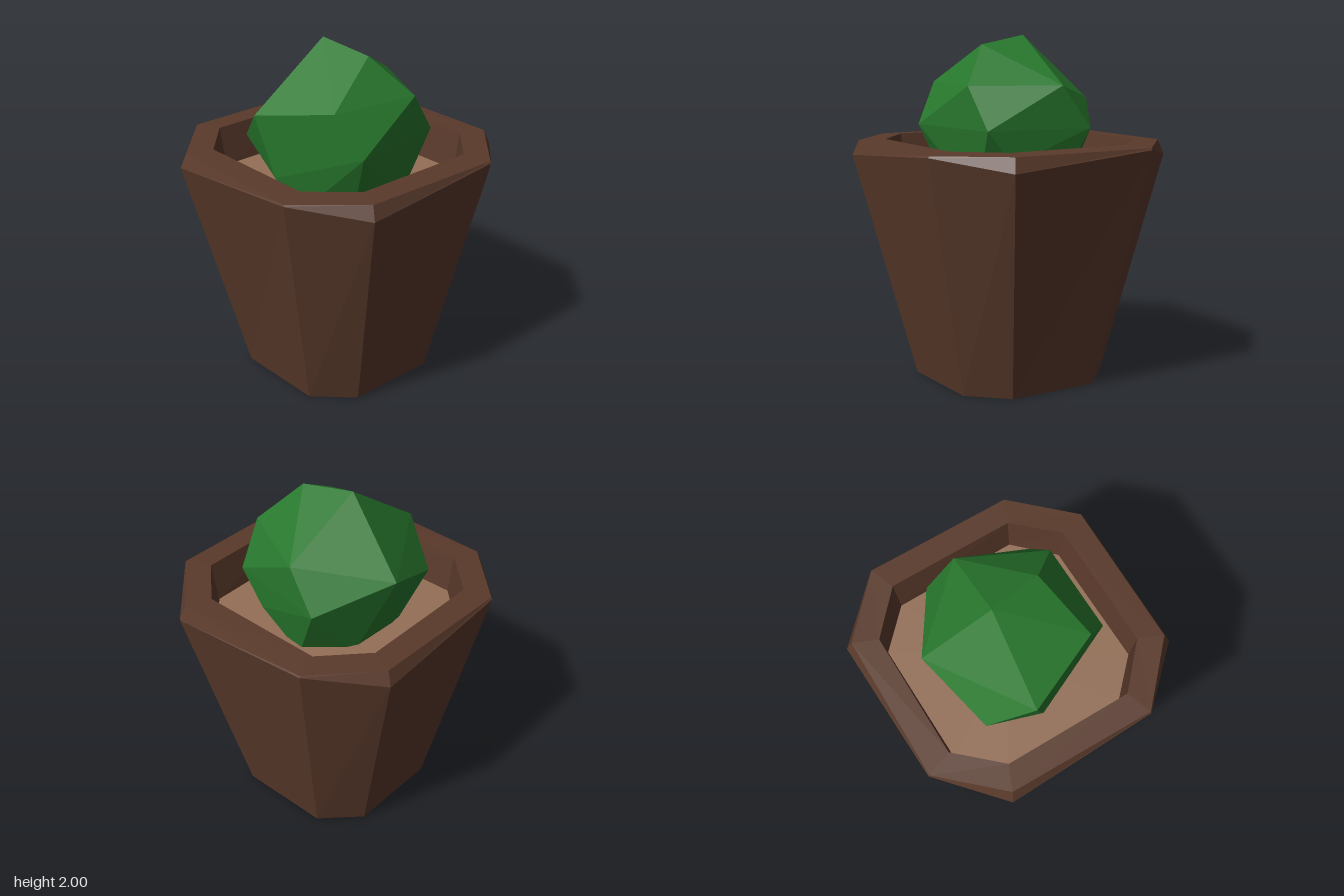
import * as THREE from 'three';
import { ConvexGeometry } from 'three/addons/geometries/ConvexGeometry.js';

// Uneven octagon with quarter-turn symmetry, from two front corners [x, y, z]
function octagon(a, b) {
  const ring = [];
  for (let k = 0; k < 4; k++) {
    for (const [x, y, z] of [a, b]) {
      const turned = [[x, z], [z, -x], [-x, -z], [-z, x]][k];
      ring.push([turned[0], y, turned[1]]);
    }
  }
  return ring;
}

const centre = (y) => octagon([0, y, 0], [0, y, 0]);

// Joins successive rings with flat faces; a centre ring closes an end
function loft(rings) {
  const positions = [];
  for (let r = 0; r < rings.length - 1; r++) {
    const low = rings[r], high = rings[r + 1];
    const lowIsPoint = low[0][0] === low[1][0];
    const highIsPoint = high[0][0] === high[1][0];
    for (let i = 0; i < 8; i++) {
      const j = (i + 1) % 8;
      if (!lowIsPoint) positions.push(...low[i], ...low[j], ...high[j]);
      if (!highIsPoint) positions.push(...low[i], ...high[j], ...high[i]);
    }
  }
  const geometry = new THREE.BufferGeometry();
  geometry.setAttribute('position', new THREE.Float32BufferAttribute(positions, 3));
  geometry.computeVertexNormals();
  return geometry;
}

function part(name, geometry, color) {
  const mesh = new THREE.Mesh(geometry, new THREE.MeshStandardMaterial({ color, flatShading: true }));
  mesh.name = name;
  return mesh;
}

export function createModel() {
  const model = new THREE.Group();
  model.name = 'pottedPlant';

  // Tapered pot with alternate rim corners chipped off
  const soilEdge = octagon([-0.15, 1.17, 0.675], [0.15, 1.17, 0.675]);
  model.add(part('pot', loft([
    centre(0),
    octagon([-0.145, 0, 0.53], [0.14, 0, 0.53]),
    octagon([-0.24, 1.38, 0.86], [0.23, 1.31, 0.88]),
    octagon([-0.235, 1.39, 0.855], [0.22, 1.395, 0.845]),
    octagon([-0.165, 1.4, 0.71], [0.165, 1.4, 0.70]),
    soilEdge,
  ]), 0x5a3a2b));

  // Soil surface
  model.add(part('soil', loft([soilEdge, centre(1.17)]), 0x946f57));

  // Faceted, slightly irregular plant
  const corners = [
    [-0.09, 2, -0.065], [0.17, 1.95, 0.12],
    [0.43, 1.73, 0.135], [0, 1.73, 0.45], [0.265, 1.73, -0.365],
    [-0.45, 1.645, 0.26], [-0.30, 1.63, -0.405],
    [0.525, 1.49, 0], [0.16, 1.49, 0.5], [0.16, 1.49, -0.505],
    [-0.53, 1.43, 0], [-0.34, 1.28, 0.28], [0.42, 1.3, -0.12],
    [0.36, 1.1, 0.1], [0.1, 1.1, 0.33], [-0.18, 1.1, 0.3],
    [-0.32, 1.1, -0.1], [-0.08, 1.1, -0.32], [0.22, 1.1, -0.3],
  ];
  const points = corners.map((c) => new THREE.Vector3(...c));
  model.add(part('plant', new ConvexGeometry(points), 0x28782d));

  return model;
}
